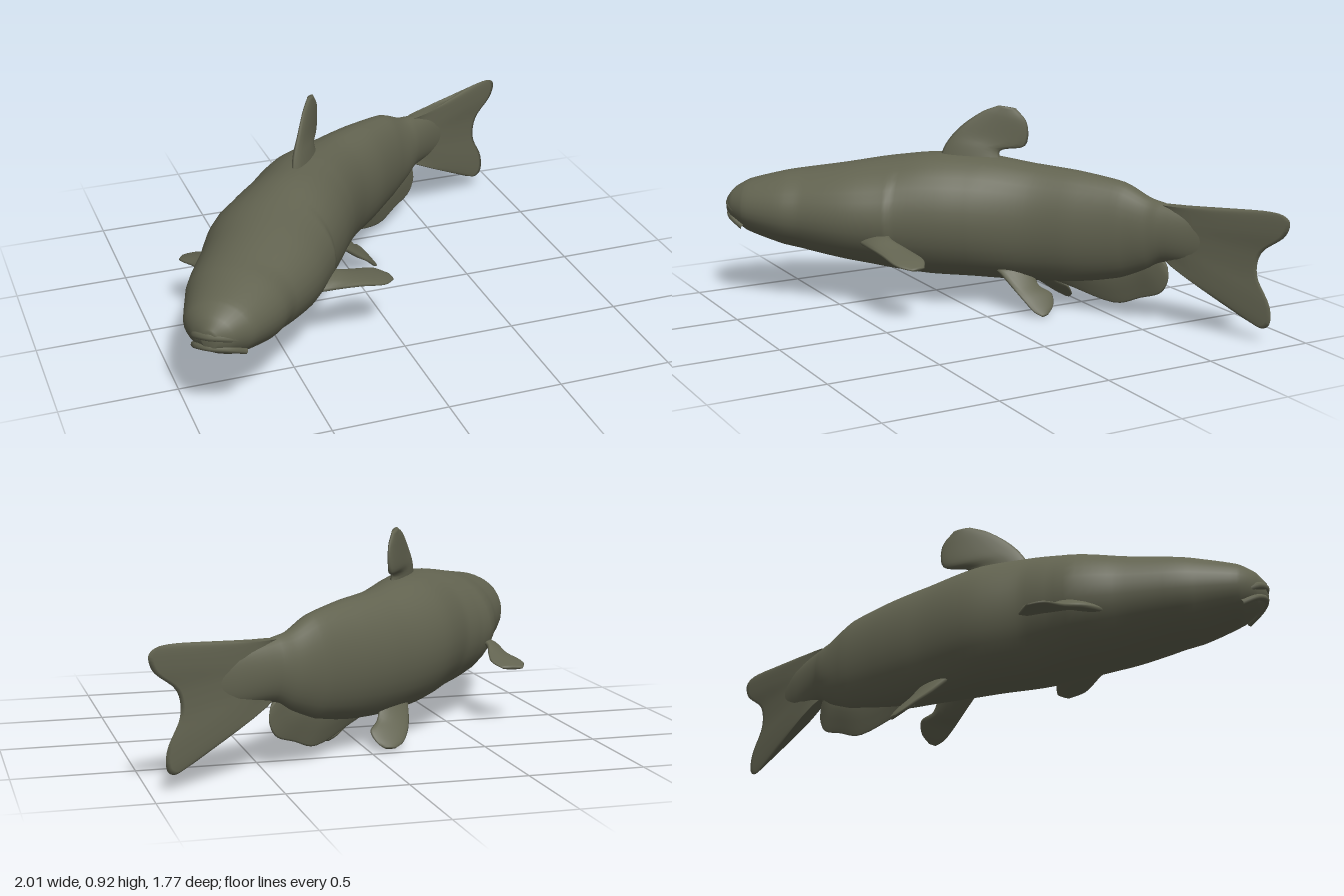
import * as THREE from 'three';

const V = (x, y, z) => new THREE.Vector3(x, y, z);

// Skin a stack of closed rings, with a point cap at each end
function loft(rings) {
  const n = rings[0].length, pos = [], idx = [];
  rings.forEach(r => r.forEach(p => pos.push(p.x, p.y, p.z)));
  for (let i = 0; i < rings.length - 1; i++) {
    for (let j = 0; j < n; j++) {
      const a = i * n + j, b = i * n + (j + 1) % n;
      idx.push(a, b, a + n, b, b + n, a + n);
    }
  }
  [0, rings.length - 1].forEach((ri, end) => {
    const c = rings[ri].reduce((s, p) => s.add(p), V(0, 0, 0)).divideScalar(n);
    const ci = pos.length / 3;
    pos.push(c.x, c.y, c.z);
    for (let j = 0; j < n; j++) {
      const a = ri * n + j, b = ri * n + (j + 1) % n;
      if (end) idx.push(ci, a, b); else idx.push(ci, b, a);
    }
  });
  const g = new THREE.BufferGeometry();
  g.setAttribute('position', new THREE.Float32BufferAttribute(pos, 3));
  g.setIndex(idx);
  g.computeVertexNormals();
  return g;
}

// Body stations from snout to tail root: x, z, half width, top, bottom
const BODY = [
  [-0.948, 0.858, 0.03, 0.465, 0.39], [-0.925, 0.83, 0.09, 0.51, 0.355],
  [-0.885, 0.775, 0.15, 0.55, 0.31], [-0.78, 0.63, 0.212, 0.595, 0.25],
  [-0.72, 0.535, 0.232, 0.612, 0.225], [-0.595, 0.37, 0.265, 0.645, 0.185],
  [-0.495, 0.21, 0.272, 0.675, 0.15], [-0.375, 0.07, 0.25, 0.698, 0.132],
  [-0.25, -0.1, 0.235, 0.695, 0.125], [-0.065, -0.28, 0.18, 0.665, 0.125],
  [0.1, -0.405, 0.15, 0.65, 0.14], [0.28, -0.535, 0.11, 0.618, 0.18],
  [0.39, -0.6, 0.085, 0.562, 0.235], [0.465, -0.637, 0.065, 0.545, 0.285],
  [0.625, -0.717, 0.03, 0.51, 0.3], [0.74, -0.768, 0.008, 0.47, 0.34],
];

function bodyGeometry() {
  const spine = new THREE.CatmullRomCurve3(BODY.map(s => V(s[0], 0, s[1])));
  const size = new THREE.CatmullRomCurve3(BODY.map(s => V(s[2], s[3], s[4])));
  const steps = 90, rings = [];
  for (let i = 0; i <= steps; i++) {
    const t = i / steps, c = spine.getPoint(t), d = spine.getTangent(t), s = size.getPoint(t);
    const side = V(d.z, 0, -d.x).normalize();
    // gill cover swells, then drops away in a crease
    const k = t * (BODY.length - 1);
    const gill = k > 4.8 && k < 6.05 ? (k - 4.8) * 0.035 : 0;
    const ring = [];
    for (let j = 0; j < 32; j++) {
      const a = j / 32 * Math.PI * 2, co = Math.cos(a), si = Math.sin(a);
      const w = s.x * co * (1 + gill * co * co);
      ring.push(V(c.x + side.x * w, (s.y + s.z) / 2 + (s.y - s.z) / 2 * si, c.z + side.z * w));
    }
    rings.push(ring);
  }
  return loft(rings);
}

// Fin: lens-shaped sections spanning point a to point b, thinning towards b by `taper`
function finGeometry(sections, thick, taper = 1, endThick = 0.3) {
  const A = new THREE.CatmullRomCurve3(sections.map(s => V(...s[0])), false, 'centripetal');
  const B = new THREE.CatmullRomCurve3(sections.map(s => V(...s[1])), false, 'centripetal');
  const steps = sections.length * 4, rings = [];
  for (let i = 0; i <= steps; i++) {
    const t = i / steps, a = A.getPoint(t), b = B.getPoint(t);
    const along = A.getTangent(t).add(B.getTangent(t));
    const u = b.clone().sub(a), n = along.cross(u).normalize();
    const ring = [];
    for (let j = 0; j < 16; j++) {
      const th = j / 16 * Math.PI * 2, f = (1 + Math.cos(th)) / 2;
      const h = Math.sin(th) * thick * (1 + (endThick - 1) * t) * (1 + (taper - 1) * f);
      ring.push(a.clone().addScaledVector(u, f).addScaledVector(n, h));
    }
    rings.push(ring);
  }
  return loft(rings);
}

const FINS = {
  dorsalFin: [[
    [[-0.35, 0.66, 0.06], [-0.17, 0.64, -0.18]],
    [[-0.335, 0.74, 0.03], [-0.19, 0.71, -0.17]],
    [[-0.30, 0.815, -0.02], [-0.14, 0.735, -0.275]],
    [[-0.245, 0.89, -0.11], [-0.135, 0.84, -0.28]],
    [[-0.205, 0.918, -0.17], [-0.165, 0.905, -0.24]],
  ], 0.035],
  leftPectoralFin: [[
    [[-0.38, 0.32, 0.46], [-0.37, 0.36, 0.28]],
    [[-0.29, 0.315, 0.455], [-0.26, 0.35, 0.35]],
    [[-0.17, 0.30, 0.44], [-0.16, 0.31, 0.305]],
    [[-0.06, 0.275, 0.42], [-0.07, 0.285, 0.28]],
    [[-0.005, 0.262, 0.37], [-0.015, 0.265, 0.305]],
  ], 0.025],
  rightPectoralFin: [[
    [[-0.76, 0.32, 0.28], [-0.60, 0.36, 0.13]],
    [[-0.79, 0.31, 0.13], [-0.70, 0.35, 0.03]],
    [[-0.80, 0.295, 0.02], [-0.685, 0.31, -0.04]],
    [[-0.835, 0.275, -0.09], [-0.68, 0.285, -0.09]],
    [[-0.81, 0.262, -0.15], [-0.71, 0.265, -0.145]],
  ], 0.025],
  leftPelvicFin: [[
    [[-0.07, 0.19, -0.09], [-0.03, 0.19, -0.25]],
    [[0.01, 0.12, -0.125], [0.02, 0.115, -0.26]],
    [[0.07, 0.07, -0.15], [0.06, 0.085, -0.30]],
    [[0.11, 0.025, -0.18], [0.10, 0.04, -0.285]],
    [[0.13, 0.005, -0.21], [0.125, 0.01, -0.245]],
  ], 0.022],
  rightPelvicFin: [[
    [[-0.23, 0.19, -0.25], [-0.08, 0.19, -0.34]],
    [[-0.21, 0.11, -0.34], [-0.05, 0.12, -0.39]],
    [[-0.185, 0.065, -0.40], [-0.01, 0.085, -0.43]],
    [[-0.15, 0.03, -0.445], [-0.03, 0.04, -0.465]],
    [[-0.11, 0.015, -0.47], [-0.06, 0.018, -0.475]],
  ], 0.022],
  analFin: [[
    [[0.02, 0.22, -0.35], [0.01, 0.13, -0.345]],
    [[0.10, 0.24, -0.405], [0.08, 0.108, -0.395]],
    [[0.22, 0.26, -0.495], [0.26, 0.06, -0.52]],
    [[0.31, 0.28, -0.555], [0.36, 0.10, -0.58]],
    [[0.36, 0.31, -0.58], [0.45, 0.14, -0.63]],
    [[0.39, 0.33, -0.60], [0.48, 0.205, -0.645]],
    [[0.41, 0.35, -0.61], [0.475, 0.26, -0.645]],
  ], 0.05, 0.15, 0.6],
};

// Tail fan, lower lobe to upper lobe: root x, y, then rim x, y
const TAIL = [
  [0.45, 0.305, 0.83, 0.09], [0.45, 0.325, 0.90, 0.065], [0.45, 0.345, 0.93, 0.085],
  [0.44, 0.365, 0.93, 0.165], [0.43, 0.395, 0.875, 0.28], [0.43, 0.42, 0.87, 0.34],
  [0.43, 0.445, 0.89, 0.40], [0.43, 0.47, 0.985, 0.485], [0.43, 0.495, 1.0, 0.545],
  [0.43, 0.515, 0.97, 0.572], [0.43, 0.53, 0.83, 0.575], [0.43, 0.54, 0.70, 0.552],
];
const tailZ = x => -0.637 - (x - 0.465) * 0.465;

export function createModel() {
  const fish = new THREE.Group();
  fish.name = 'fish';
  const skin = new THREE.MeshStandardMaterial({ color: 0x626350 });
  skin.name = 'olive skin';
  const add = (name, geometry) => {
    const m = new THREE.Mesh(geometry, skin);
    m.name = name;
    fish.add(m);
  };

  add('body', bodyGeometry());
  for (const [name, args] of Object.entries(FINS)) add(name, finGeometry(...args));
  add('tailFin', finGeometry(
    TAIL.map(([x, y, rx, ry]) => [[x, y, tailZ(x)], [rx, ry, tailZ(rx)]]), 0.04, 0.15, 1));

  // Lips wrap around the blunt snout
  [['upperLip', 0, 0.018], ['lowerLip', -0.05, 0.014]].forEach(([name, dy, r]) => {
    const path = new THREE.CatmullRomCurve3([
      V(-0.975, 0.39, 0.72), V(-0.98, 0.425, 0.79), V(-0.945, 0.44, 0.85),
      V(-0.87, 0.43, 0.87), V(-0.80, 0.395, 0.845),
    ].map(p => p.setY(p.y + dy)));
    add(name, new THREE.TubeGeometry(path, 24, r, 8));
  });
  return fish;
}
